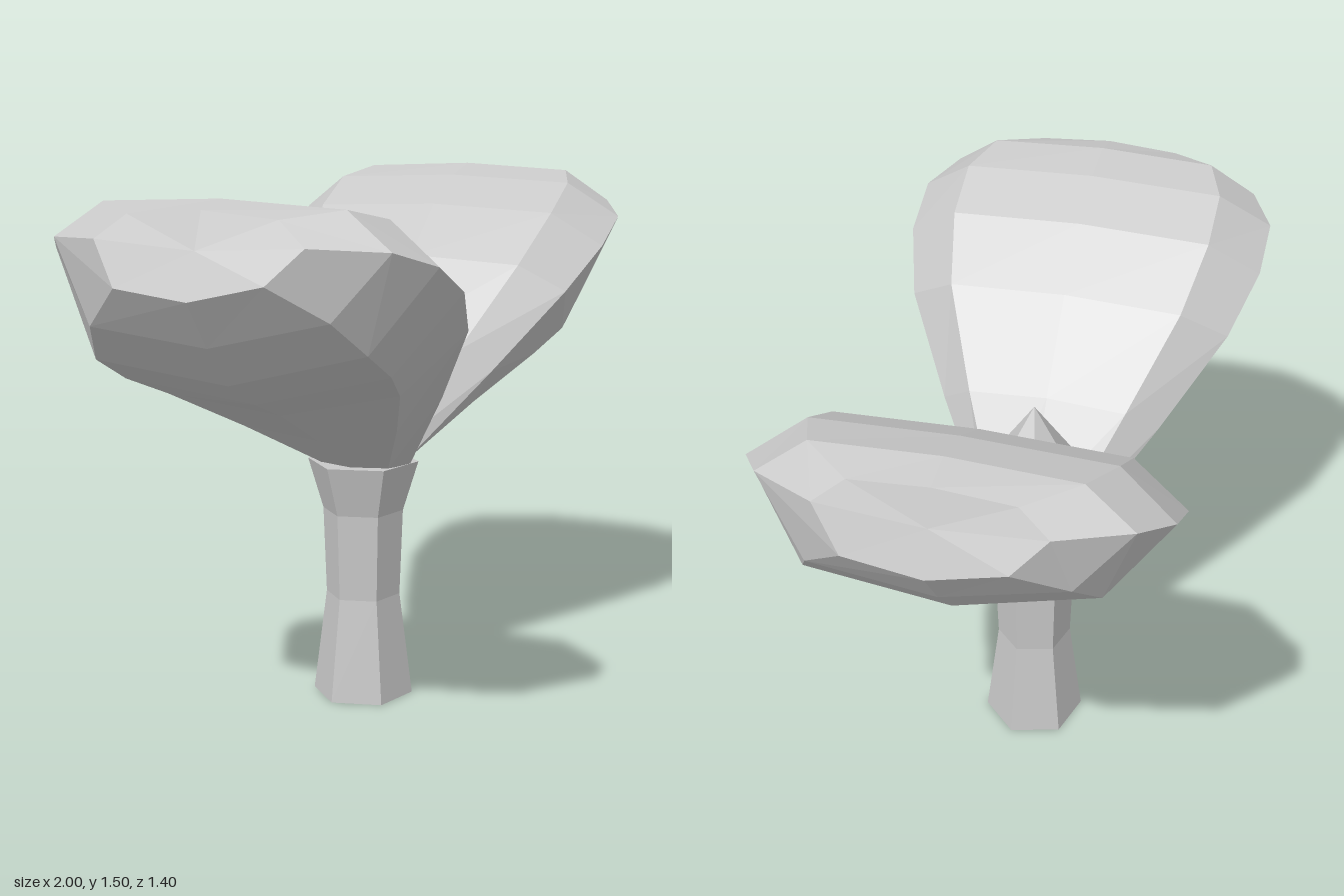
import * as THREE from 'three';

const grey = new THREE.MeshStandardMaterial({ color: 0xc8c8c8, flatShading: true });
grey.name = 'plain grey';

// Skin a closed, faceted solid over rings of points, counter-clockwise seen from the last ring
function loft(rings, name) {
  const pos = [];
  const tri = (...pts) => pts.forEach((p) => pos.push(p.x, p.y, p.z));
  const n = rings[0].length;
  const middle = (ring) =>
    ring.reduce((sum, p) => sum.add(p), new THREE.Vector3()).divideScalar(n);
  const first = rings[0], last = rings[rings.length - 1];
  const start = middle(first), end = middle(last);
  for (let k = 0; k < n; k++) {
    const j = (k + 1) % n;
    for (let i = 0; i < rings.length - 1; i++) {
      const a = rings[i], b = rings[i + 1];
      tri(a[k], a[j], b[j]);
      tri(a[k], b[j], b[k]);
    }
    tri(start, first[j], first[k]);
    tri(end, last[k], last[j]);
  }
  const geo = new THREE.BufferGeometry();
  geo.setAttribute('position', new THREE.Float32BufferAttribute(pos, 3));
  geo.computeVertexNormals();
  const mesh = new THREE.Mesh(geo, grey);
  mesh.name = name;
  return mesh;
}

// Horizontal six-sided ring
function hexRing(y, r, turn) {
  return Array.from({ length: 6 }, (_, k) => {
    const a = turn + (k * Math.PI) / 3;
    return new THREE.Vector3(r * Math.sin(a), y, r * Math.cos(a));
  });
}

// Leaf ribs: distance along leaf, rim height, half width,
// top rise and its shift, bottom drop and its shift
const RIBS = [
  [0.01, 0.70, 0.14, 0.03, -0.03, 0.01, 0.06],
  [0.217, 0.94, 0.32, 0.06, -0.04, 0.11, 0.08],
  [0.416, 1.155, 0.47, 0.075, -0.046, 0.205, 0.10],
  [0.586, 1.275, 0.525, 0.095, -0.045, 0.265, 0.07],
  [0.741, 1.35, 0.525, 0.10, -0.05, 0.27, 0.05],
  [0.85, 1.39, 0.455, 0.09, -0.03, 0.21, 0.04],
  [0.94, 1.40, 0.28, 0.06, -0.025, 0.11, 0.04],
];

// Eight-sided cross-section: crown, shoulder, rim, keel side, keel and back up;
// the underside is shallower towards the back
function leafRing([s, y, w, up, upShift, down, downShift]) {
  const section = [
    [0, up + 0.015, upShift], [0.72, up, upShift], [1, 0, 0], [0.73, -down, downShift],
    [0, -down * 1.1 - 0.01, downShift + 0.01], [-0.7, -down * 0.78, downShift], [-1, 0, 0],
    [-0.72, up, upShift],
  ];
  return section.map(([side, rise, shift]) =>
    new THREE.Vector3(s + shift, y + rise, side * w - 0.012));
}

export function createModel() {
  const model = new THREE.Group();
  model.name = 'seedling';

  // Waisted six-sided stem
  const stemProfile = [[0, 0.145], [0.3, 0.107], [0.55, 0.116], [0.695, 0.16]];
  model.add(loft(stemProfile.map(([y, r]) => hexRing(y, r, Math.PI / 6)), 'stem'));

  // Two thick leaves, each a half turn from the other
  const swing = 0.243;
  [['leftLeaf', 0], ['rightLeaf', Math.PI]].forEach(([name, turn]) => {
    const leaf = loft(RIBS.map(leafRing), name);
    leaf.rotation.y = swing + turn;
    model.add(leaf);
  });

  // Pointed bud between the leaves, with staggered rings and a notch under the tip
  const half = Math.PI / 6;
  const budProfile = [
    [0.7, 0.02, half], [0.83, 0.1, half], [0.88, 0.085, half], [0.92, 0.125, 0], [1.1, 0.001, 0],
  ];
  model.add(loft(budProfile.map(([y, r, turn]) => hexRing(y, r, turn)), 'bud'));

  return model;
}
